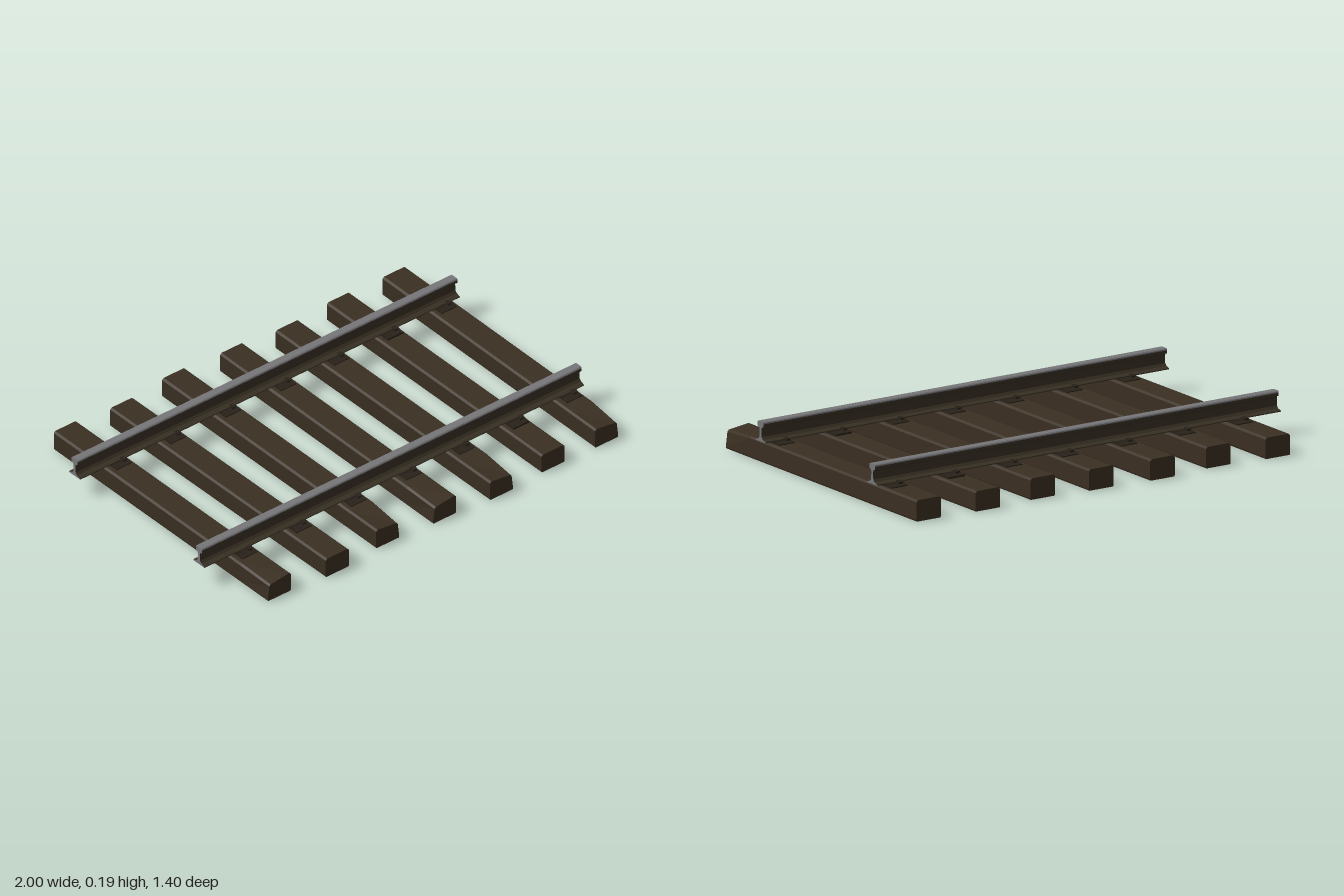
import * as THREE from 'three';

const mat = (name, color) => {
  const m = new THREE.MeshStandardMaterial({ color });
  m.name = name;
  return m;
};

// Extrude a closed [x, y] profile along z, centred on z = 0
function extrude(points, depth, steps = 1) {
  const shape = new THREE.Shape(points.map(([x, y]) => new THREE.Vector2(x, y)));
  return new THREE.ExtrudeGeometry(shape, { depth, steps, bevelEnabled: false }).translate(0, 0, -depth / 2);
}

// Mirror the right half of a profile to close it
const mirrored = (half) => [...half, ...half.map(([x, y]) => [-x, y]).reverse()];

export function createModel() {
  const group = new THREE.Group();
  const wood = mat('dark wood', 0x3a2f22);
  const rust = mat('rusty rail', 0x383024);
  const steel = mat('worn steel', 0x77777a);
  const iron = mat('dark iron', 0x28221a);

  const add = (name, geometry, material, x = 0, y = 0, z = 0, parent = group) => {
    const mesh = new THREE.Mesh(geometry, material);
    mesh.name = name;
    mesh.position.set(x, y, z);
    parent.add(mesh);
    return mesh;
  };

  // Sleepers: centre x, back z, front z, height, sideways skew, wear on the front left/right corner
  const sleepers = [
    [-0.8, -0.7, 0.67, 0.09, 0, -1],
    [-0.515, -0.68, 0.69, 0.09, 0.004, 0],
    [-0.225, -0.705, 0.665, 0.09, 0, 1],
    [0.065, -0.69, 0.68, 0.09, -0.003, -1],
    [0.345, -0.67, 0.7, 0.09, 0.001, 1],
    [0.63, -0.69, 0.685, 0.086, 0, 0],
    [0.912, -0.68, 0.69, 0.09, -0.004, 1],
  ];
  sleepers.forEach(([x, back, front, h, skew, wear]) => {
    const length = front - back;
    const half = [[0.058, 0], [0.061, 0.006], [0.061, h - 0.008], [0.053, h]];
    const geo = extrude(mirrored(half), length, 8);
    const p = geo.attributes.position;
    for (let i = 0; i < p.count; i++) {
      const z = p.getZ(i), y = p.getY(i), px = p.getX(i);
      const worn = z > length * 0.49 && y > h / 2 && px * wear > 0;
      p.setX(i, px + skew * z / (length / 2) - (worn ? wear * 0.008 : 0));
      if (worn) p.setY(i, y - 0.012);
    }
    geo.computeVertexNormals();
    add('sleeper', geo, wood, x, 0, (back + front) / 2);
  });

  // Rail section: broad foot, thin web and rounded head
  const railHalf = [
    [0.036, 0.1], [0.036, 0.104], [0.016, 0.11], [0.0075, 0.12],
    [0.0065, 0.153], [0.01, 0.16], [0.02, 0.164], [0.02, 0.176],
  ];
  const railGeo = extrude(mirrored(railHalf), 2).rotateY(Math.PI / 2);
  const treadHalf = [[0.02, 0.176], [0.02, 0.181], [0.016, 0.185]];
  const treadGeo = extrude(mirrored(treadHalf), 2).rotateY(Math.PI / 2);

  // Tie plate section, sloping away from the rail on both sides
  const plateHalf = [[0.073, 0.084], [0.073, 0.094], [0.042, 0.099], [0.036, 0.104]];
  const plateGeo = extrude(mirrored(plateHalf), 0.08).rotateY(Math.PI / 2);
  const spikeGeo = new THREE.BoxGeometry(0.018, 0.012, 0.022);

  for (const side of [-1, 1]) {
    const z = side * 0.398;
    add('rail', railGeo, [steel, rust], 0, 0, z);
    add('railTread', treadGeo, steel, 0, 0, z);

    // Plates and spikes where the rail crosses each sleeper
    sleepers.forEach(([x]) => {
      const fixing = new THREE.Group();
      fixing.name = 'railFixing';
      fixing.position.set(x + 0.005, 0, side * 0.402);
      group.add(fixing);
      add('tiePlate', plateGeo, iron, 0, 0, 0, fixing);
      for (const s of [-1, 1]) {
        const spike = add('spike', spikeGeo, iron, s * 0.02, 0.102, s * 0.042, fixing);
        spike.rotation.x = s * 0.15;
      }
    });
  }
  return group;
}
